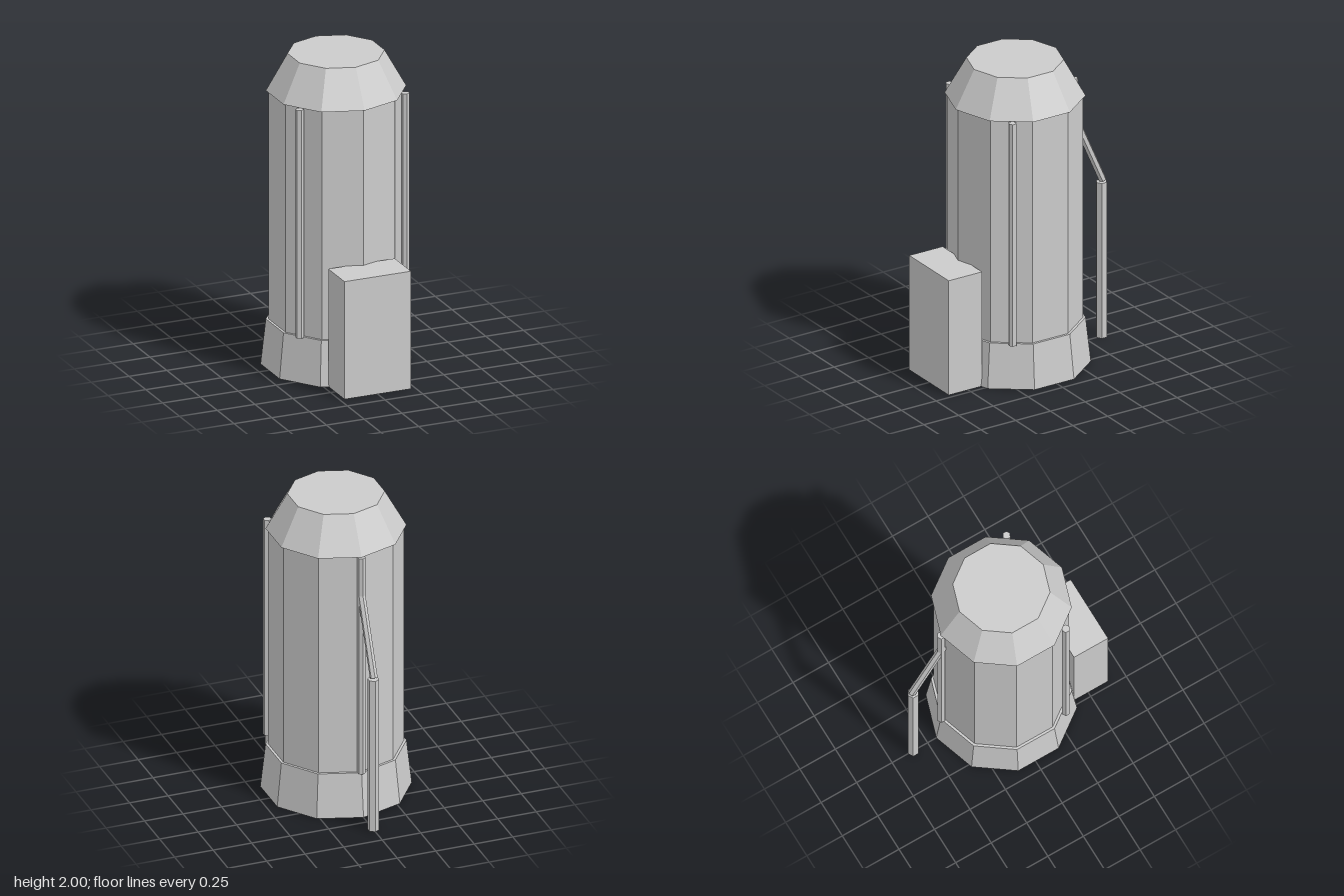
import * as THREE from 'three';

const AXIS_Z = 0.02; // the tower's centre line

export function createModel() {
  const group = new THREE.Group();
  const grey = new THREE.MeshStandardMaterial({ color: 0xcccccc });
  grey.name = 'light grey';

  const add = (name, geometry, x, y, z) => {
    // separate face normals for crisp facets
    const flat = geometry.index ? geometry.toNonIndexed() : geometry;
    flat.computeVertexNormals();
    const mesh = new THREE.Mesh(flat, grey);
    mesh.name = name;
    mesh.position.set(x, y, z);
    group.add(mesh);
    return mesh;
  };

  // ten-sided tower section between two heights
  const section = (name, rTop, rBottom, y0, y1) =>
    add(name, new THREE.CylinderGeometry(rTop, rBottom, y1 - y0, 10), 0, (y0 + y1) / 2, AXIS_Z);

  section('base', 0.427, 0.459, 0, 0.29);
  section('tank', 0.411, 0.411, 0.29, 1.765);
  section('roof', 0.295, 0.427, 1.765, 2);

  // six-sided pipe between two points
  const pipe = (name, a, b, r) => {
    const from = new THREE.Vector3(...a), to = new THREE.Vector3(...b);
    const dir = to.clone().sub(from);
    const mid = from.clone().add(to).multiplyScalar(0.5);
    const mesh = add(name, new THREE.CylinderGeometry(r, r, dir.length(), 6), mid.x, mid.y, mid.z);
    mesh.quaternion.setFromUnitVectors(new THREE.Vector3(0, 1, 0), dir.normalize());
  };

  // thin rods along the tank wall
  for (const [name, x, z] of [['leftRod', 0.35, 0.265], ['rightRod', -0.35, 0.265], ['backRod', 0, -0.404]])
    pipe(name, [x, 0.29, z], [x, 1.765, z], 0.026);

  // drain pipe with a sloping upper run into the tank
  pipe('drainPipe', [0, 0, -0.602], [0, 1.03, -0.602], 0.036);
  pipe('slopingPipe', [0, 1.04, -0.61], [0, 1.61, -0.36], 0.024);

  // entrance block at the front
  add('entranceBlock', new THREE.BoxGeometry(0.44, 0.76, 0.24), 0, 0.38, 0.52);

  return group;
}
